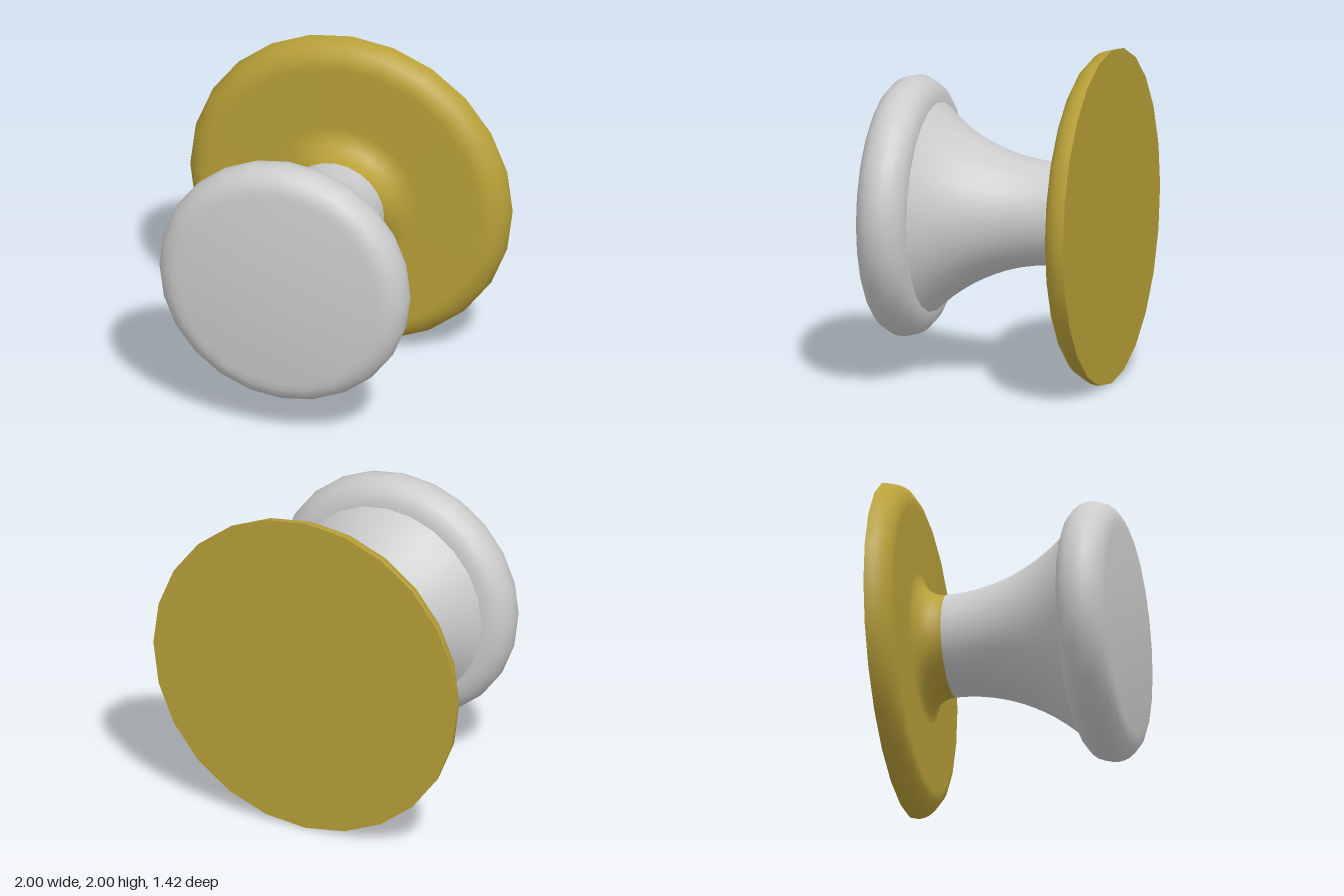
import * as THREE from 'three';

const SEGMENTS = 24;

// Points on an arc in (radius, z), angles in degrees
function arc(cr, cz, rad, from, to, steps) {
  return Array.from({ length: steps + 1 }, (_, i) => {
    const a = THREE.MathUtils.degToRad(from + ((to - from) * i) / steps);
    return new THREE.Vector2(Math.max(0, cr + rad * Math.cos(a)), cz + rad * Math.sin(a));
  });
}

// Turns a profile, listed from back to front, about the z axis
function turned(name, profile, material) {
  const geometry = new THREE.LatheGeometry(profile, SEGMENTS);
  geometry.rotateX(Math.PI / 2);
  const mesh = new THREE.Mesh(geometry, material);
  mesh.name = name;
  return mesh;
}

export function createModel() {
  const brass = new THREE.MeshStandardMaterial({ color: 0xb8a038 });
  const grey = new THREE.MeshStandardMaterial({ color: 0xcccccc });
  const v = (r, z) => new THREE.Vector2(r, z);

  const knob = new THREE.Group();
  knob.name = 'doorKnob';
  knob.position.y = 1;

  // Wall plate: flat back, rounded rim, fillet into the neck
  knob.add(turned('plateBack', [v(0, -0.71), v(1, -0.71)], brass));
  knob.add(turned('wallPlate', [
    ...arc(0.85, -0.71, 0.15, 0, 90, 8),
    ...arc(0.455, -0.41, 0.15, 270, 180, 8),
    v(0.305, -0.4),
  ], brass));

  // Neck flaring towards the head
  const flare = 1.086;
  knob.add(turned('neck', arc(0.305 + flare, -0.4, flare, 180, 135, 12), grey));

  // Head: flat underside, half-round rim, shallow domed face
  knob.add(turned('headUnderside', [v(0.55, 0.37), v(0.625, 0.37)], grey));
  knob.add(turned('headRim', arc(0.625, 0.52, 0.15, -90, 90, 12), grey));
  const dome = 4.9;
  const edge = 90 - THREE.MathUtils.radToDeg(Math.asin(0.625 / dome));
  knob.add(turned('headFace', arc(0, 0.71 - dome, dome, edge, 90, 6), grey));

  const model = new THREE.Group();
  model.name = 'model';
  model.add(knob);
  return model;
}
